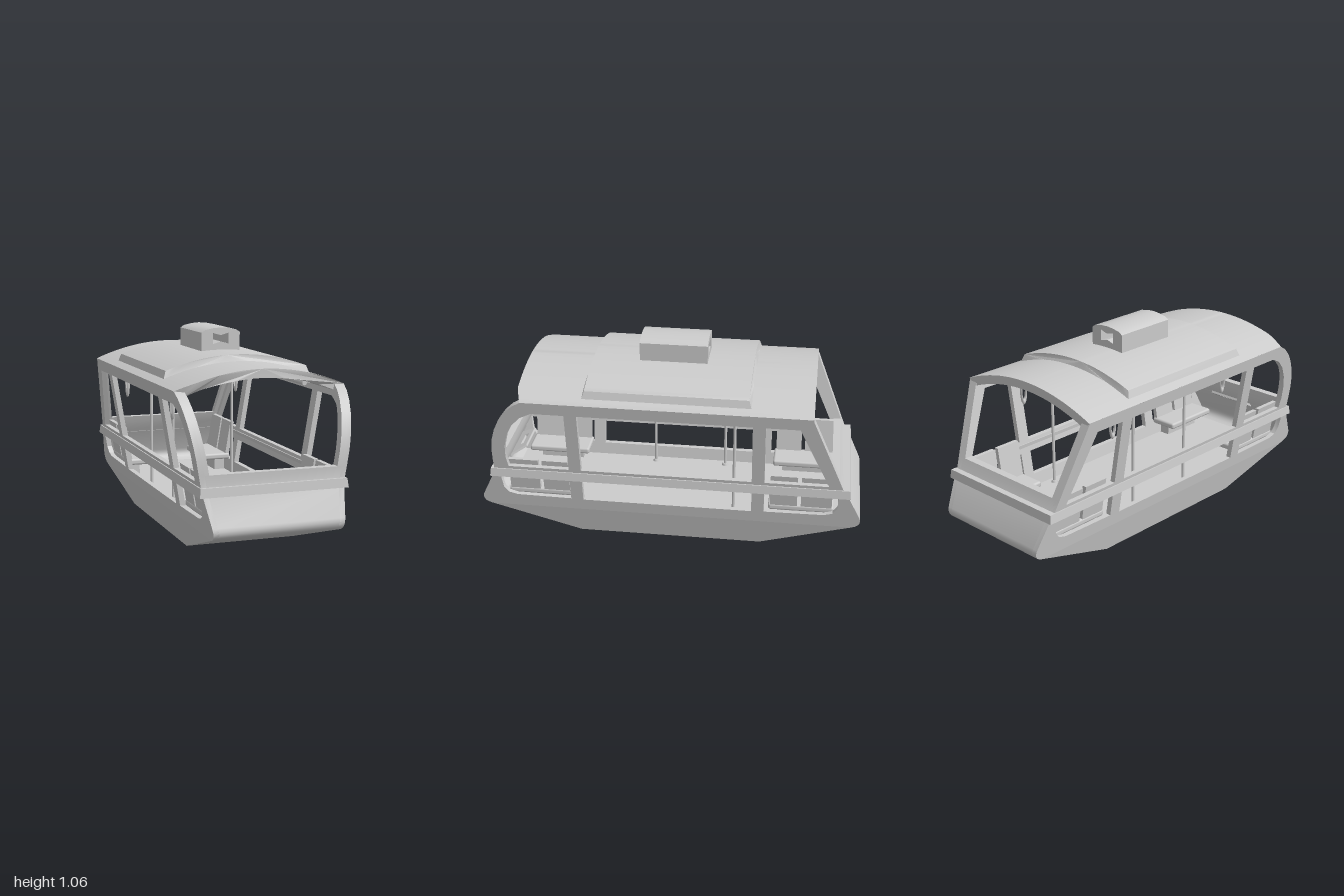
import * as THREE from 'three';
import { toCreasedNormals } from 'three/addons/utils/BufferGeometryUtils.js';
import { RoundedBoxGeometry } from 'three/addons/geometries/RoundedBoxGeometry.js';

const material = new THREE.MeshStandardMaterial({ color: 0xcccccc, side: THREE.DoubleSide });

// Half width of the cabin at height y: it flares outwards towards the roof
const halfWidth = (y) => (y < 0.15 ? 0.288 + 0.233 * y : 0.323 + 0.167 * (y - 0.15));
const roofTop = (x) => 0.912 - 0.092 * (x / 0.435) ** 2;
const roofUnder = (x) => 0.868 - 0.078 * (x / 0.385) ** 2;

const toShape = (pts) => new THREE.Shape(pts.map(([a, b]) => new THREE.Vector2(a, b)));
const range = (n, from, to) => Array.from({ length: n + 1 }, (_, i) => from + ((to - from) * i) / n);

function extrude(pts, holes, depth) {
  const shape = toShape(pts);
  shape.holes = holes.map(toShape);
  return new THREE.ExtrudeGeometry(shape, { depth, bevelEnabled: false });
}

function warp(geo, rule) {
  const p = geo.attributes.position;
  const v = new THREE.Vector3();
  for (let i = 0; i < p.count; i++) {
    rule(v.fromBufferAttribute(p, i));
    p.setXYZ(i, v.x, v.y, v.z);
  }
  return toCreasedNormals(geo, 0.6);
}

export function createModel() {
  const model = new THREE.Group();
  const add = (name, geo, x = 0, y = 0, z = 0) => {
    const mesh = new THREE.Mesh(geo, material);
    mesh.name = name;
    mesh.position.set(x, y, z);
    model.add(mesh);
    return mesh;
  };

  // Side outline in [z, y], stretched in x between lo(y) and hi(y)
  const panel = (name, pts, lo, hi, holes = []) => {
    const flip = (list) => list.map(([z, y]) => [-z, y]);
    const geo = extrude(flip(pts), holes.map(flip), 1);
    add(name, warp(geo, (v) => {
      const t = v.z;
      v.set(lo(v.y) + (hi(v.y) - lo(v.y)) * t, v.y, -v.x);
    }));
  };
  // Two mirrored skins lying between two depths inside the cabin width
  const pair = (name, pts, outer, inner, holes) => {
    panel(name + 'Left', pts, (y) => halfWidth(y) - inner, (y) => halfWidth(y) - outer, holes);
    panel(name + 'Right', pts, (y) => outer - halfWidth(y), (y) => inner - halfWidth(y), holes);
  };
  const across = (name, pts) => panel(name, pts, (y) => -halfWidth(y), halfWidth);

  // End profiles from floor to roof
  const nose = [[0.955, 0.15], [0.974, 0.157], [0.99, 0.168], [0.998, 0.183], [1, 0.198], [0.995, 0.215], [0.93, 0.35], [0.92, 0.4], [0.921, 0.45]];
  const frontCurve = [[0.921, 0.45], [0.92, 0.52], [0.911, 0.58], [0.893, 0.64], [0.865, 0.7], [0.828, 0.752], [0.785, 0.793], [0.74, 0.82]];
  const tail = [...nose.slice(0, 7).map(([z, y]) => [-z, y]), [-0.9, 0.4], [-0.88, 0.45]];
  const rearSlope = [[-0.88, 0.45], [-0.73, 0.82]];
  const band = (pts, dz) => [...pts, ...pts.map(([z, y]) => [z + dz, y]).reverse()];

  // Solid underbody with the floor on top
  across('underbody', [[-0.48, 0], [0.48, 0], [0.955, 0.15], [-0.955, 0.15]]);

  // Side walls with upper and lower window openings
  const outline = [...nose, ...frontCurve.slice(1), ...rearSlope.slice().reverse(), ...tail.slice(0, -1).reverse()];
  pair('sideWall', outline, 0, 0.028, [
    [[0.52, 0.41], [0.84, 0.41], [0.85, 0.47], [0.847, 0.54], [0.83, 0.61], [0.797, 0.675], [0.75, 0.725], [0.69, 0.755], [0.52, 0.755]],
    [[-0.435, 0.41], [0.455, 0.41], [0.455, 0.755], [-0.435, 0.755]],
    [[-0.5, 0.41], [-0.83, 0.41], [-0.67, 0.755], [-0.5, 0.755]],
    [[0.52, 0.218], [0.81, 0.222], [0.855, 0.235], [0.88, 0.27], [0.89, 0.345], [0.52, 0.345]],
    [[-0.435, 0.215], [0.455, 0.215], [0.455, 0.345], [-0.435, 0.345]],
    [[-0.5, 0.218], [-0.81, 0.222], [-0.855, 0.235], [-0.88, 0.27], [-0.88, 0.345], [-0.5, 0.345]],
  ]);

  // End walls and window posts
  across('frontWall', band(nose, -0.04));
  across('rearWall', band(tail, 0.04));
  pair('frontPost', band(frontCurve, -0.045), 0, 0.05);
  pair('rearPost', band(rearSlope, 0.04), 0, 0.05);

  // Belt rail around the body
  const rect = (x, z) => [[-x, -z], [x, -z], [x, z], [-x, z]];
  const belt = extrude(rect(0.375, 0.942), [rect(0.335, 0.89)], 0.045);
  belt.rotateX(-Math.PI / 2);
  add('beltRail', warp(belt, (v) => {
    if (v.y > 0.02) { v.x *= 0.985; v.z *= 0.994; }
  }), 0, 0.348, 0);

  // Arched roof
  const arch = extrude([
    ...range(32, -0.435, 0.435).map((x) => [x, roofTop(x)]),
    ...range(32, 0.4, -0.4).map((x) => [x, roofUnder(x)]),
  ], [], 1);
  add('roof', warp(arch, (v) => {
    const front = 0.74 + Math.max(0, Math.min(0.03, (v.y - 0.82) * 0.8));
    v.z = -0.735 + v.z * (front + 0.735);
  }));

  // Raised roof section with sloping edges
  const raised = extrude([
    ...range(28, -0.375, 0.375).map((x) => [x, roofTop(x) + 0.033]),
    ...range(28, 0.39, -0.39).map((x) => [x, roofTop(x) - 0.005]),
  ], [], 0.86);
  add('raisedRoof', warp(raised, (v) => {
    v.z -= 0.43;
    if (v.y > roofTop(v.x) + 0.02) v.z *= 0.967;
  }), 0, 0, 0.005);

  // Hanger housing with a bow-tie channel running through it
  const housing = extrude(
    [[-0.105, 0.92], [0.105, 0.92], [0.105, 1.035], [0.085, 1.048], [0.04, 1.057], [0, 1.06], [-0.04, 1.057], [-0.085, 1.048], [-0.105, 1.035]],
    [[[-0.043, 0.975], [0, 0.987], [0.043, 0.975], [0.043, 1.032], [0, 1.02], [-0.043, 1.032]]], 0.352);
  add('hangerHousing', toCreasedNormals(housing, 0.4), 0, 0, -0.174);

  // Corner benches: cushion, pedestal and two back pads each
  for (const end of [1, -1]) {
    for (const [a, b] of [[0.53, 0.67], [0.69, 0.85]]) {
      pair('seatBack', [[end * a, 0.24], [end * b, 0.24], [end * b, 0.437], [end * a, 0.437]], 0.032, 0.055);
    }
    for (const side of [1, -1]) {
      add('seatCushion', new RoundedBoxGeometry(0.16, 0.035, 0.34, 2, 0.012), side * 0.23, 0.235, end * 0.69);
      add('seatPedestal', new THREE.BoxGeometry(0.06, 0.08, 0.24), side * 0.26, 0.185, end * 0.69);
    }
  }

  // Overhead grab rails
  for (const side of [1, -1]) {
    const rail = new THREE.CylinderGeometry(0.013, 0.013, 1.04, 12);
    add('grabRail', rail.rotateX(Math.PI / 2), side * 0.325, 0.8, 0);
    for (const z of [-0.5, 0, 0.5]) {
      add('railBracket', new THREE.BoxGeometry(0.085, 0.014, 0.02), side * 0.36, 0.805, z);
    }
  }

  // Floor poles bending out to the rails
  for (const [side, z] of [[1, -0.335], [-1, -0.245], [-1, 0.15]]) {
    const at = (x, y) => new THREE.Vector3(side * x, y, z);
    const path = new THREE.CurvePath();
    path.add(new THREE.LineCurve3(at(0.252, 0.15), at(0.252, 0.71)));
    path.add(new THREE.QuadraticBezierCurve3(at(0.252, 0.71), at(0.252, 0.73), at(0.266, 0.745)));
    path.add(new THREE.LineCurve3(at(0.266, 0.745), at(0.322, 0.8)));
    add('pole', new THREE.TubeGeometry(path, 60, 0.008, 10));
    add('poleFoot', new THREE.CylinderGeometry(0.014, 0.018, 0.012, 16), side * 0.252, 0.156, z);
  }

  // Hanging hand straps
  for (const [side, z] of [[-1, 0.37], [1, -0.47], [-1, -0.47]]) {
    const loop = new THREE.TorusGeometry(0.017, 0.004, 8, 24);
    loop.scale(1, 4.1, 2.2).rotateY(Math.PI / 2);
    add('handStrap', loop, side * 0.325, 0.71, z);
  }

  // Slotted panel on the inside of the front wall
  const plate = extrude([[-0.13, -0.05], [0.13, -0.05], [0.1, 0.05], [-0.1, 0.05]],
    [[[-0.055, 0], [0.055, 0], [0.055, 0.025], [-0.055, 0.025]]], 0.012);
  add('frontPanel', plate, 0, 0.36, 0.85).rotation.x = -Math.PI / 3;

  return model;
}
